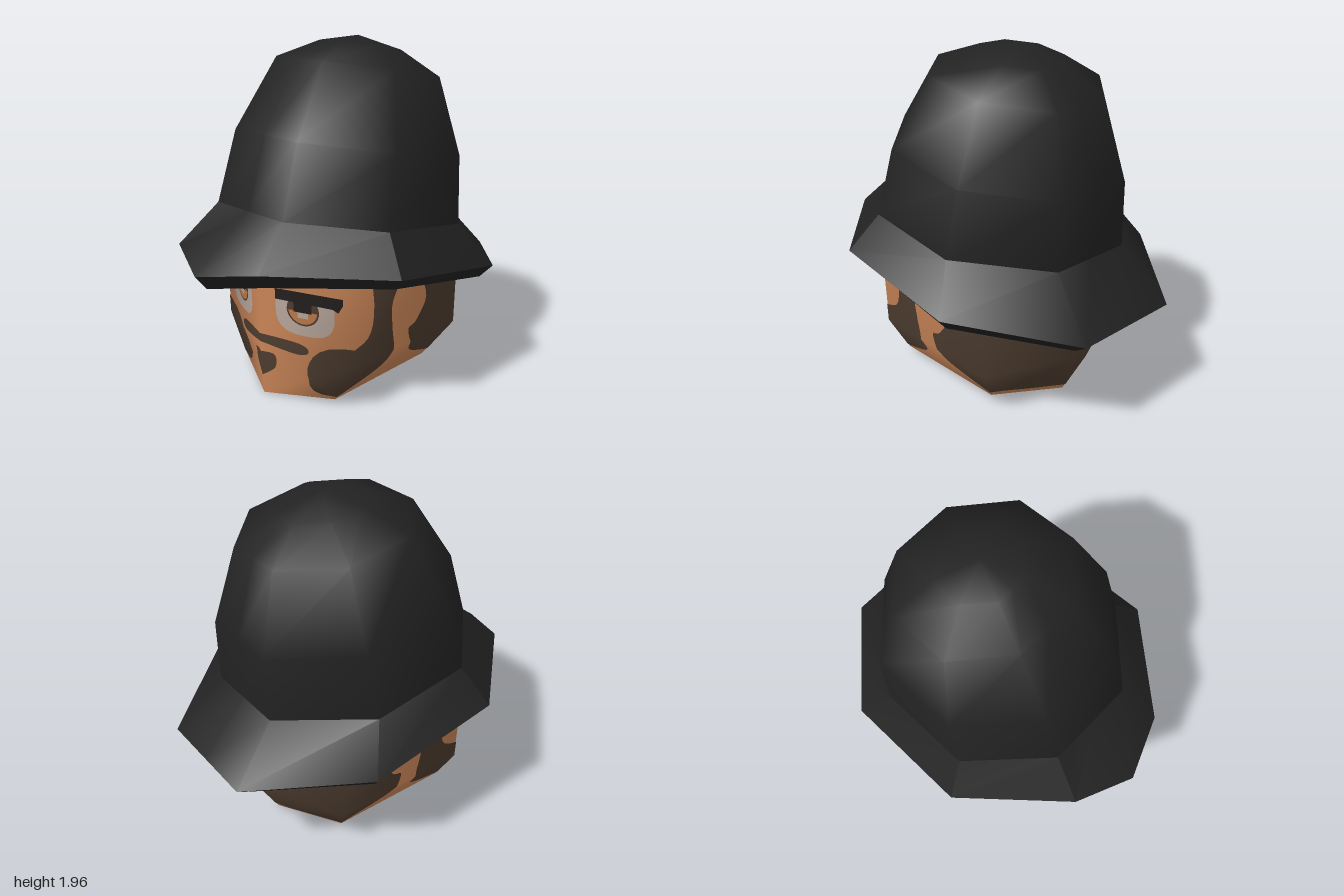
import * as THREE from 'three';
import { toCreasedNormals } from 'three/addons/utils/BufferGeometryUtils.js';

const mat = (name, color) => Object.assign(new THREE.MeshStandardMaterial({ color }), { name });

// Half outline (front centre -> left side -> back centre) completed by mirroring
const mirrorRing = half =>
  half.concat(half.slice(1, -1).reverse().map(([x, y, z]) => [-x, y, z]));

// Skin a stack of equal-length rings, lowest / innermost first
function loft(rings) {
  const n = rings[0].length, index = [];
  for (let i = 0; i < rings.length - 1; i++)
    for (let j = 0; j < n; j++) {
      const k = (j + 1) % n, a = i * n + j, b = i * n + k;
      index.push(a, b, b + n, a, b + n, a + n);
    }
  const g = new THREE.BufferGeometry();
  g.setAttribute('position', new THREE.Float32BufferAttribute(rings.flat(2), 3));
  g.setIndex(index);
  g.computeVertexNormals();
  return g;
}

const area = (a, b, c) => (b[0] - a[0]) * (c[1] - a[1]) - (b[1] - a[1]) * (c[0] - a[0]);

// Clip a flat polygon to a triangle
function clip(poly, tri) {
  const t = area(...tri) > 0 ? tri : [tri[0], tri[2], tri[1]];
  for (let e = 0; e < 3; e++) {
    const a = t[e], b = t[(e + 1) % 3], out = [];
    poly.forEach((p, i) => {
      const q = poly[(i + 1) % poly.length], dp = area(a, b, p), dq = area(a, b, q);
      if (dp >= 0) out.push(p);
      if ((dp > 0 && dq < 0) || (dp < 0 && dq > 0)) {
        const s = dp / (dp - dq);
        out.push([p[0] + s * (q[0] - p[0]), p[1] + s * (q[1] - p[1])]);
      }
    });
    poly = out;
    if (poly.length < 3) return [];
  }
  return poly;
}

// Lay a flat outline on the head surface, projected from the front (x,y) or the side (z,y)
function decal(head, outline, fromSide, sign, lift) {
  const P = head.attributes.position, N = head.attributes.normal, I = head.index.array;
  const pos = [], nor = [];
  const poly = outline.map(([u, v]) => [fromSide ? u : u * sign, v]);
  for (let f = 0; f < I.length; f += 3) {
    const ids = [I[f], I[f + 1], I[f + 2]];
    const p = ids.map(i => new THREE.Vector3().fromBufferAttribute(P, i));
    const nn = ids.map(i => new THREE.Vector3().fromBufferAttribute(N, i));
    const facing = fromSide ? (p[0].x + p[1].x + p[2].x) * sign : Math.min(p[0].z, p[1].z, p[2].z) - 0.2;
    if (facing <= 0) continue;
    const tri = p.map(v => [fromSide ? v.z : v.x, v.y]);
    const A = area(...tri);
    if (Math.abs(A) < 1e-6) continue;
    const c = clip(poly, tri);
    if (c.length < 3) continue;
    const faces = THREE.ShapeUtils.triangulateShape(c.map(q => new THREE.Vector2(...q)), []);
    for (let t of faces) {
      if (area(...t.map(i => c[i])) * A < 0) t = [t[0], t[2], t[1]];
      for (const i of t) {
        const w = [area(c[i], tri[1], tri[2]) / A, area(tri[0], c[i], tri[2]) / A, area(tri[0], tri[1], c[i]) / A];
        const v = new THREE.Vector3(), n = new THREE.Vector3();
        w.forEach((k, m) => { v.addScaledVector(p[m], k); n.addScaledVector(nn[m], k); });
        n.normalize();
        v.addScaledVector(n, lift);
        pos.push(v.x, v.y, v.z);
        nor.push(n.x, n.y, n.z);
      }
    }
  }
  const g = new THREE.BufferGeometry();
  g.setAttribute('position', new THREE.Float32BufferAttribute(pos, 3));
  g.setAttribute('normal', new THREE.Float32BufferAttribute(nor, 3));
  return g;
}

// Outline helpers: smooth open curve, rounded blob with a flat top, rectangle
const smooth = points => new THREE.SplineCurve(points.map(p => new THREE.Vector2(...p)))
  .getPoints(points.length * 4).map(v => [v.x, v.y]);
const blob = (cx, cy, rx, ry, top, power = 1) => Array.from({ length: 28 }, (_, i) => {
  const a = i * Math.PI / 14, bend = v => Math.sign(v) * Math.abs(v) ** power;
  return [cx + rx * bend(Math.cos(a)), Math.min(top, cy + ry * bend(Math.sin(a)))];
});
const rect = (x0, y0, x1, y1) => [[x0, y0], [x1, y0], [x1, y1], [x0, y1]];

export function createModel() {
  const skin = mat('skin', 0xcb8658), hat = mat('hatBlack', 0x222222), hair = mat('hairBrown', 0x4e3d30);
  const white = mat('eyeWhite', 0xb9a89d), black = mat('browBlack', 0x231f1e);
  const brown = mat('irisDark', 0x503c30), amber = mat('irisAmber', 0xbd7a4a);
  const model = new THREE.Group();
  const group = name => {
    const g = new THREE.Group();
    g.name = name;
    model.add(g);
    return g;
  };
  const add = (parent, name, geometry, material) => {
    const m = new THREE.Mesh(geometry, material);
    m.name = name;
    parent.add(m);
  };

  // Six-sided head tapering to the jaw
  const head = group('head');
  const jaw = mirrorRing([[0, 0, 0.57], [0.385, 0.035, 0.385], [0.385, 0.05, -0.37], [0, 0.015, -0.56]]);
  const cheek = mirrorRing([[0, 0.28, 0.585], [0.53, 0.28, 0.385], [0.53, 0.28, -0.47], [0, 0.3, -0.72]]);
  const scalp = mirrorRing([[0, 0.85, 0.605], [0.557, 0.85, 0.39], [0.555, 0.85, -0.45], [0, 0.85, -0.69]]);
  const headGeo = loft([jaw, cheek, scalp]);
  add(head, 'face', headGeo, skin);
  add(head, 'headUnderside', loft([jaw.map(() => [0, 0.01, 0]), jaw]), skin);

  // Painted features, one on each side of the head
  const paint = (name, material, lift, outline, fromSide = false) => {
    for (const s of [1, -1])
      add(head, name + (s > 0 ? 'Left' : 'Right'), decal(headGeo, outline, fromSide, s, lift), material);
  };

  // Hair and beard: soft edges closed by straight lines under the hat
  const beardEdge = smooth([[0.3, 0.84], [0.25, 0.6], [0.28, 0.43], [0.44, 0.36], [0.48, 0.2], [0.43, 0.06],
    [0.25, 0.1], [0.09, 0.18], [0.07, 0.3], [0.09, 0.42], [0.1, 0.58], [0.02, 0.72]]);
  const napeEdge = smooth([[0.02, 0.72], [-0.11, 0.68], [-0.19, 0.53], [-0.11, 0.4], [-0.05, 0.37],
    [-0.08, 0.27], [-0.15, 0.18], [-0.45, 0.07], [-0.8, 0.03]]);
  paint('sideburn', hair, 0.003, [...beardEdge, [0.02, 0.84]], true);
  paint('backHair', hair, 0.003, [...napeEdge, [-0.8, 0.84], [0.02, 0.84]], true);
  paint('moustache', hair, 0.003, smooth([[0, 0.375], [0.23, 0.358], [0.28, 0.315], [0.21, 0.291], [0, 0.325]]));
  paint('goatee', hair, 0.003, smooth([[0, 0.265], [0.08, 0.26], [0.085, 0.19], [0.05, 0.15], [0, 0.115]]));

  // Eyes under heavy brows
  paint('eyeWhite', white, 0.002, blob(0.265, 0.56, 0.165, 0.15, 0.64, 0.7));
  paint('irisRim', brown, 0.003, blob(0.255, 0.56, 0.09, 0.09, 0.65));
  paint('iris', amber, 0.004, blob(0.255, 0.56, 0.08, 0.08, 0.555));
  paint('eyeGlint', white, 0.005, rect(0.225, 0.515, 0.285, 0.55));
  paint('pupil', black, 0.006, rect(0.205, 0.548, 0.305, 0.62));
  paint('eyebrow', black, 0.007, [[0.105, 0.605], [0.42, 0.6], [0.45, 0.585], [0.475, 0.63], [0.475, 0.667], [0.105, 0.667]]);

  // Crown: tilted octagonal rings, [half width, front z, front y, back z, back y]
  const hatGroup = group('hat');
  const plan = [[0, 0], [0.41, 0], [1, 0.28], [1, 0.7], [0.39, 1], [0, 1]];
  const crown = [
    [0.65, 0.64, 1.09, -0.73, 0.9],
    [0.605, 0.52, 1.48, -0.74, 1.27],
    [0.455, 0.27, 1.86, -0.62, 1.7],
    [0.225, 0.03, 1.94, -0.43, 1.86],
    [0, -0.18, 1.96, -0.18, 1.96],
  ].map(([w, zf, yf, zb, yb]) =>
    mirrorRing(plan.map(([u, t]) => [u * w, yf + t * (yb - yf), zf + t * (zb - zf)])));
  add(hatGroup, 'crown', toCreasedNormals(loft(crown), 1.0), hat);

  // Brim: sloping top, thin rim and underside
  const rimTop = mirrorRing([[0, 0.82, 1], [0.34, 0.88, 0.86], [0.805, 0.84, 0.335], [0.805, 0.715, -0.45],
    [0.33, 0.61, -1], [0, 0.61, -1]]);
  const rimLow = mirrorRing([[0, 0.735, 0.93], [0.31, 0.79, 0.79], [0.74, 0.77, 0.31], [0.74, 0.64, -0.42],
    [0.31, 0.548, -0.91], [0, 0.548, -0.91]]);
  const under = rimLow.map(() => [0, 0.73, -0.05]);
  add(hatGroup, 'brim', toCreasedNormals(loft([under, rimLow, rimTop, crown[0]]), 0.6), hat);

  return model;
}
